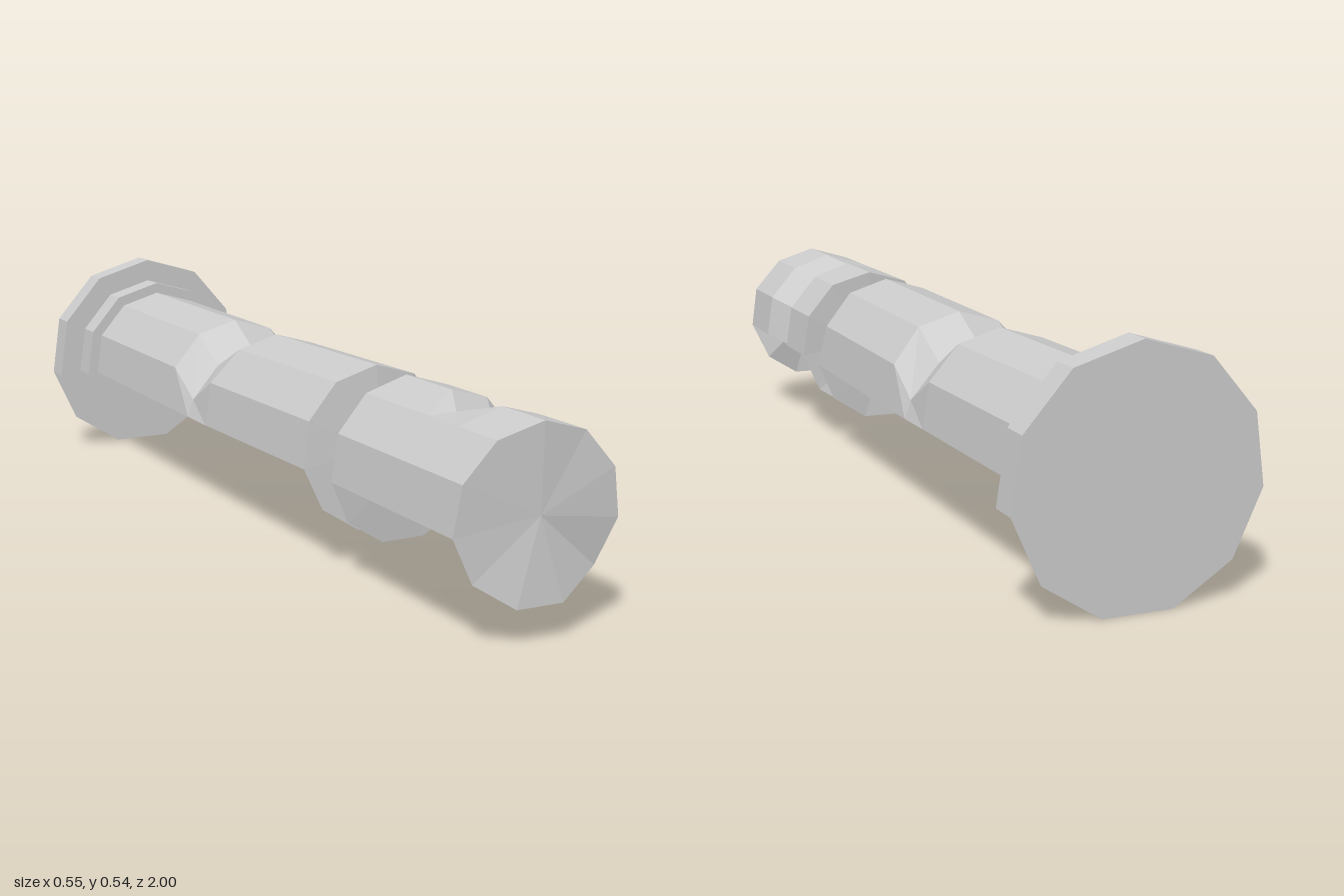
import * as THREE from 'three';

const SIDES = 11, CY = 0.264, R = 0.189;
const STEP = (Math.PI * 2) / SIDES;
const material = new THREE.MeshStandardMaterial({ color: 0xcccccc, flatShading: true, side: THREE.DoubleSide });

// Corner k of the eleven-sided section: 0 is the top, positive k goes towards +x
const corner = (k, r, z, dx = 0, dy = 0) =>
  [r * Math.sin(k * STEP) + dx, CY + r * Math.cos(k * STEP) + dy, z];

function makeMesh(name, positions) {
  const geometry = new THREE.BufferGeometry();
  geometry.setAttribute('position', new THREE.Float32BufferAttribute(positions, 3));
  geometry.computeVertexNormals();
  const mesh = new THREE.Mesh(geometry, material);
  mesh.name = name;
  return mesh;
}

// Open upper shell (corners -3..3) through rings running from back to front
function shell(name, rings) {
  const p = [];
  for (let i = 0; i < rings.length - 1; i++) {
    for (let k = -3; k < 3; k++) {
      const a = rings[i](k), b = rings[i](k + 1), c = rings[i + 1](k), d = rings[i + 1](k + 1);
      p.push(...a, ...c, ...b, ...b, ...c, ...d);
    }
  }
  return makeMesh(name, p);
}

// Full fan across an end; zs lists the rim depth for corners -5..5
function cap(name, r, zs, centreZ, facing) {
  const p = [];
  for (let i = 0; i < SIDES; i++) {
    const j = (i + 1) % SIDES;
    const a = corner(i - 5, r, zs[i]), b = corner(j - 5, r, zs[j]);
    p.push(0, CY, centreZ, ...(facing > 0 ? b : a), ...(facing > 0 ? a : b));
  }
  return makeMesh(name, p);
}

export function createModel() {
  const group = new THREE.Group();
  group.name = 'brokenColumn';

  // Stepped base: wide plinth, then a narrower collar
  const steps = [[0.2756, -1], [0.2756, -0.935], [0.217, -0.935], [0.217, -0.87], [R, -0.87]];
  group.add(shell('steppedBase', steps.map(([r, z]) => (k) => corner(k, r, z))));
  group.add(cap('baseUnderside', 0.2756, Array(SIDES).fill(-1), -1, -1));

  // Long shaft with a V-shaped chip across its top
  const longEnd = [0.385, 0.38, 0.375, 0.37, 0.367, 0.368, 0.362, 0.348, 0.375, 0.382, 0.39];
  group.add(shell('longShaft', [
    (k) => corner(k, R, -0.87),
    (k) => corner(k, R, -0.355, 0, -0.004),
    (k) => corner(k, R, -0.245, 0, Math.abs(k) < 3 ? -0.068 : -0.005),
    (k) => corner(k, R, Math.abs(k) < 2 ? -0.12 : -0.14, 0, -0.006),
    (k) => corner(k, R, longEnd[k + 5]),
  ]));
  group.add(cap('longShaftBreak', R, longEnd, 0.383, 1));

  // Short broken piece, chipped on its left side only
  const backEnd = [0.49, 0.495, 0.5, 0.5, 0.497, 0.493, 0.5, 0.498, 0.502, 0.502, 0.49];
  const frontEnd = [0.995, 0.972, 0.968, 0.975, 0.985, 0.995, 0.99, 0.995, 0.992, 0.978, 1];
  const chipZ = (k, z) => z + (k <= 0 ? 0.02 : 0);
  group.add(shell('shortShaft', [
    (k) => corner(k, R, backEnd[k + 5]),
    (k) => corner(k, R, chipZ(k, 0.652)),
    (k) => (k >= 0 ? corner(k, R, chipZ(k, 0.74), -0.046, -0.025) : corner(k, R, 0.745)),
    (k) => corner(k, R, chipZ(k, 0.833)),
    (k) => corner(k, R, frontEnd[k + 5]),
  ]));
  group.add(cap('shortShaftBackBreak', R, backEnd, 0.505, -1));
  group.add(cap('shortShaftFrontBreak', R, frontEnd, 0.99, 1));

  return group;
}
